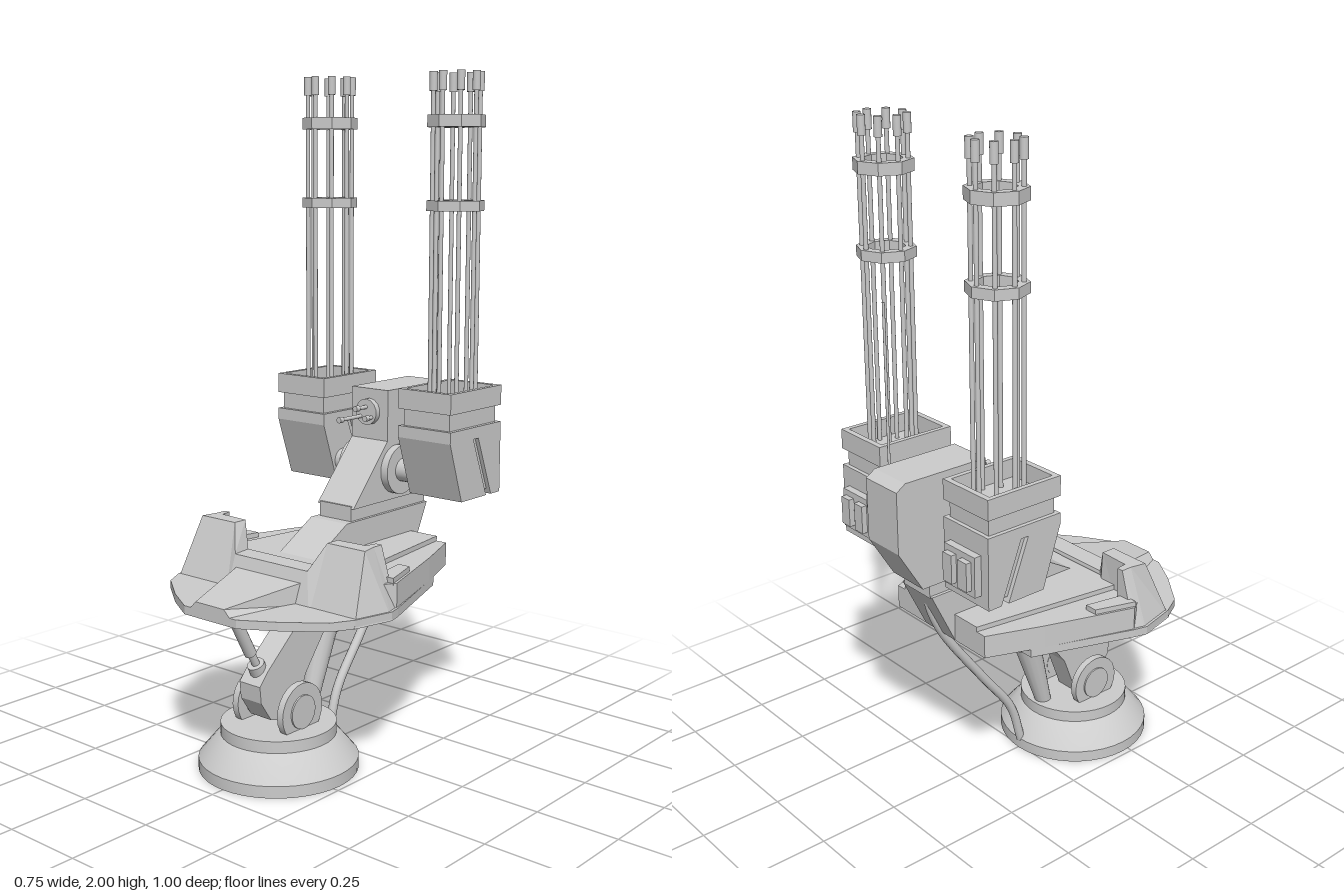
import * as THREE from 'three';
import { toCreasedNormals } from 'three/addons/utils/BufferGeometryUtils.js';

const smooth = new THREE.MeshStandardMaterial({ color: 0xcccccc, side: THREE.DoubleSide });
const flat = new THREE.MeshStandardMaterial({ color: 0xcccccc, side: THREE.DoubleSide, flatShading: true });
const V = (x, y, z) => new THREE.Vector3(x, y, z);

function add(parent, name, geo, pos = [0, 0, 0], mat = smooth) {
  const m = new THREE.Mesh(geo, mat);
  m.name = name;
  m.position.set(...pos);
  parent.add(m);
  return m;
}
const shapeOf = pts => new THREE.Shape(pts.map(p => new THREE.Vector2(p[0], p[1])));
const extrude = (shape, depth) => new THREE.ExtrudeGeometry(shape, { depth, bevelEnabled: false });

// side profile of [z, y] points, centred across x
const prism = (pts, width) => extrude(shapeOf(pts), width).translate(0, 0, -width / 2).rotateY(-Math.PI / 2);
// half outline of [x, z] points, mirrored, standing between two heights
function slab(half, y0, y1) {
  const all = [...half, ...half.map(([x, z]) => [-x, z]).reverse()];
  return extrude(shapeOf(all), y1 - y0).rotateX(Math.PI / 2).translate(0, y1, 0);
}
const turned = (pts, n = 32) =>
  toCreasedNormals(new THREE.LatheGeometry(pts.map(p => new THREE.Vector2(p[0], p[1])), n), 0.5);
// cylinder lying along x between x0 and x1
const axle = (r, x0, x1, n = 24) =>
  new THREE.CylinderGeometry(r, r, x1 - x0, n).rotateZ(Math.PI / 2).translate((x0 + x1) / 2, 0, 0);

// rod between two points
function rod(parent, name, a, b, r0, r1 = r0) {
  const d = b.clone().sub(a);
  const m = add(parent, name, new THREE.CylinderGeometry(r1, r0, d.length(), 14));
  m.position.copy(a).addScaledVector(d, 0.5);
  m.quaternion.setFromUnitVectors(V(0, 1, 0), d.normalize());
  return m;
}

// closed loft through four-cornered sections
function loft(sections) {
  const pos = sections.flat(2), idx = [], n = sections[0].length, last = (sections.length - 1) * n;
  for (let i = 0; i < sections.length - 1; i++)
    for (let j = 0; j < n; j++) {
      const a = i * n + j, b = i * n + (j + 1) % n;
      idx.push(a, b, a + n, b, b + n, a + n);
    }
  idx.push(0, 2, 1, 0, 3, 2, last, last + 1, last + 2, last, last + 2, last + 3);
  const g = new THREE.BufferGeometry();
  g.setAttribute('position', new THREE.Float32BufferAttribute(pos, 3));
  g.setIndex(idx);
  g.computeVertexNormals();
  return g;
}

function makeBase(root) {
  const g = new THREE.Group();
  g.name = 'base';
  root.add(g);
  add(g, 'foot', turned([[0.2, 0.0], [0.235, 0], [0.235, 0.035], [0.18, 0.1], [0.17, 0.105], [0.17, 0.14], [0, 0.14]], 40), [0, 0, 0.225]);
  add(g, 'footLining', turned([[0.2, 0], [0.2, 0.035], [0.15, 0.1], [0, 0.1]], 40), [0, 0, 0.225]);
  // hinge with a round plate on each side
  add(g, 'hingeAxle', axle(0.025, -0.1, 0.1), [0, 0.19, 0.23]);
  for (const s of [-1, 1]) {
    add(g, 'hingePlate', axle(0.085, -0.011, 0.011), [s * 0.088, 0.19, 0.23]);
    add(g, 'hingeCap', axle(0.05, -0.014, 0.014), [s * 0.09, 0.19, 0.23]);
  }
  add(g, 'supportArm', prism([[0.2, 0.14], [0.3, 0.17], [0.34, 0.23], [0.345, 0.28], [0.31, 0.32],
    [0.08, 0.52], [-0.04, 0.52], [0.15, 0.27]], 0.08));
  // front piston
  rod(g, 'pistonRod', V(0, 0.52, 0.42), V(0, 0.3, 0.3), 0.012);
  rod(g, 'pistonSleeve', V(0, 0.5, 0.41), V(0, 0.37, 0.34), 0.018);
  rod(g, 'pistonCollar', V(0, 0.335, 0.32), V(0, 0.305, 0.305), 0.026);
  // rear strut flowing into a funnel under the platform
  add(g, 'funnel', turned([[0.18, 0.505], [0.15, 0.49], [0.09, 0.455], [0.055, 0.42], [0.04, 0.36]], 32), [0, 0, 0.01]);
  rod(g, 'rearStrut', V(0, 0.12, 0.1), V(0, 0.42, 0.01), 0.024, 0.046);
  const path = new THREE.CatmullRomCurve3([V(0, 0.7, -0.36), V(0, 0.62, -0.345), V(0, 0.52, -0.3),
    V(0, 0.31, -0.15), V(0, 0.16, -0.04), V(0, 0.03, 0.0)]);
  add(g, 'hose', new THREE.TubeGeometry(path, 40, 0.014, 10));
}

function makePlatform(root) {
  const g = new THREE.Group();
  g.name = 'platform';
  root.add(g);
  add(g, 'floor', slab([[0.1, 0.5], [0.2, 0.44], [0.31, 0.355], [0.345, 0.29], [0.375, 0.17],
    [0.365, 0.13], [0.255, -0.18]], 0.505, 0.53));
  add(g, 'rearDeck', slab([[0.33, 0.18], [0.36, 0.13], [0.27, -0.14], [0.205, -0.31]], 0.53, 0.6));
  add(g, 'deckPanel', slab([[0.24, 0.18], [0.17, -0.31]], 0.6, 0.615));
  for (const s of [-1, 1]) {
    const pad = [[0.355, 0.14], [0.315, 0.015], [0.275, 0.015], [0.3, 0.14]].map(([x, z]) => [s * x, z]);
    add(g, 'sidePad', extrude(shapeOf(pad), 0.02).rotateX(Math.PI / 2), [0, 0.615, 0]);
  }
  // armour wall from centre to side: outer foot, outer top, inner top, inner foot
  const half = [
    [[0.14, 0.505, 0.295], [0.14, 0.62, 0.255], [0.15, 0.62, 0.19], [0.15, 0.505, 0.17]],
    [[0.18, 0.505, 0.295], [0.18, 0.7, 0.215], [0.18, 0.7, 0.17], [0.18, 0.505, 0.16]],
    [[0.345, 0.505, 0.295], [0.315, 0.7, 0.215], [0.28, 0.7, 0.165], [0.28, 0.505, 0.16]],
    [[0.376, 0.505, 0.17], [0.305, 0.7, 0.165], [0.28, 0.7, 0.155], [0.28, 0.505, 0.15]],
    [[0.365, 0.505, 0.13], [0.305, 0.7, 0.13], [0.285, 0.7, 0.13], [0.285, 0.505, 0.13]],
  ];
  const mirrored = half.map(s => s.map(([x, y, z]) => [-x, y, z])).reverse();
  add(g, 'armourWall', loft([...mirrored, ...half]), [0, 0, 0], flat);
  // tapered nose ramp
  add(g, 'noseRamp', loft([
    [[-0.135, 0.52, 0.25], [-0.13, 0.588, 0.25], [0.13, 0.588, 0.25], [0.135, 0.52, 0.25]],
    [[-0.1, 0.505, 0.5], [-0.055, 0.55, 0.5], [0.055, 0.55, 0.5], [0.1, 0.505, 0.5]],
  ]), [0, 0, 0], flat);
}

function makeHead(root) {
  const g = new THREE.Group();
  g.name = 'head';
  root.add(g);
  add(g, 'neckBlock', prism([[0.165, 0.6], [0, 0.695], [-0.39, 0.695], [-0.31, 0.53], [0.165, 0.53]], 0.14));
  add(g, 'neckJoint', new THREE.BoxGeometry(0.12, 0.05, 0.36), [0, 0.715, -0.21]);
  add(g, 'headBlock', prism([[-0.03, 0.733], [-0.19, 0.915], [-0.19, 1.07], [-0.47, 1.07], [-0.5, 1.05],
    [-0.5, 0.865], [-0.42, 0.733]], 0.14));
  // shaft carrying both guns
  add(g, 'gunShaft', axle(0.035, -0.16, 0.16), [0, 0.825, -0.233]);
  add(g, 'shaftFlange', axle(0.075, -0.095, 0.095), [0, 0.825, -0.233]);
  // dish and aerial on the left side
  add(g, 'sideFlange', axle(0.085, 0.06, 0.09), [0, 0.97, -0.405]);
  add(g, 'sideCap', axle(0.058, 0.06, 0.113), [0, 0.97, -0.405]);
  rod(g, 'aerial', V(0.1, 0.97, -0.4), V(0.1, 1.525, -0.4), 0.004);
  // sensor cluster
  rod(g, 'sensorDisc', V(0, 1, -0.2), V(0, 1, -0.172), 0.04);
  for (const [x, y, z] of [[-0.021, 0.985, -0.07], [0, 1.015, -0.12], [0.021, 0.985, -0.14]]) {
    rod(g, 'sensorRod', V(x, y, -0.18), V(x, y, z), 0.006);
    rod(g, 'sensorTip', V(x, y, z - 0.016), V(x, y, z), 0.009);
  }
}

// open frame lying flat, from an outer and inner outline
function frame(outer, inner, height) {
  const s = shapeOf(outer);
  s.holes.push(new THREE.Path(inner.map(p => new THREE.Vector2(p[0], p[1]))));
  return extrude(s, height).rotateX(-Math.PI / 2);
}
const rect = (w, d) => [[-w, -d], [w, -d], [w, d], [-w, d]];
const octagon = r => Array.from({ length: 8 }, (_, i) => [r * Math.cos(i * Math.PI / 4), r * Math.sin(i * Math.PI / 4)]);

function makeGun(root, side) {
  const g = new THREE.Group();
  g.name = side > 0 ? 'leftGun' : 'rightGun';
  g.position.set(side * 0.24, 0, 0);
  root.add(g);
  // housing split by a slanted groove over a narrower core
  add(g, 'housingCore', prism([[-0.16, 0.975], [-0.215, 0.78], [-0.39, 0.78], [-0.39, 0.975]], 0.165));
  add(g, 'housingFront', prism([[-0.145, 0.945], [-0.205, 0.765], [-0.33, 0.765], [-0.26, 0.945]], 0.19));
  add(g, 'housingRear', prism([[-0.285, 0.945], [-0.355, 0.765], [-0.4, 0.765], [-0.4, 0.945]], 0.19));
  add(g, 'shoulder', new THREE.BoxGeometry(0.19, 0.035, 0.255), [0, 0.962, -0.2725]);
  add(g, 'collarNeck', new THREE.BoxGeometry(0.165, 0.06, 0.23), [0, 1.005, -0.2725]);
  add(g, 'collar', frame(rect(0.095, 0.1275), rect(0.08, 0.11), 0.06), [0, 1.03, -0.2725]);
  // rear vent box
  add(g, 'ventBox', new THREE.BoxGeometry(0.13, 0.12, 0.03), [0, 0.86, -0.408]);
  for (const x of [-0.032, 0.032])
    add(g, 'vent', new THREE.BoxGeometry(0.038, 0.085, 0.03), [x, 0.86, -0.425]);
  // ring of barrels held by two octagonal bands
  for (const [x, z] of octagon(0.068)) {
    rod(g, 'barrel', V(x, 1.0, z - 0.284), V(x, 1.96, z - 0.284), 0.0065);
    rod(g, 'muzzle', V(x, 1.945, z - 0.284), V(x, 2, z - 0.284), 0.0115);
  }
  for (const [y, h] of [[1.605, 0.03], [1.843, 0.035]])
    add(g, 'barrelBand', frame(octagon(0.085), octagon(0.055), h), [0, y, -0.284]);
}

export function createModel() {
  const root = new THREE.Group();
  root.name = 'gunTurret';
  makeBase(root);
  makePlatform(root);
  makeHead(root);
  for (const side of [-1, 1]) makeGun(root, side);
  return root;
}
